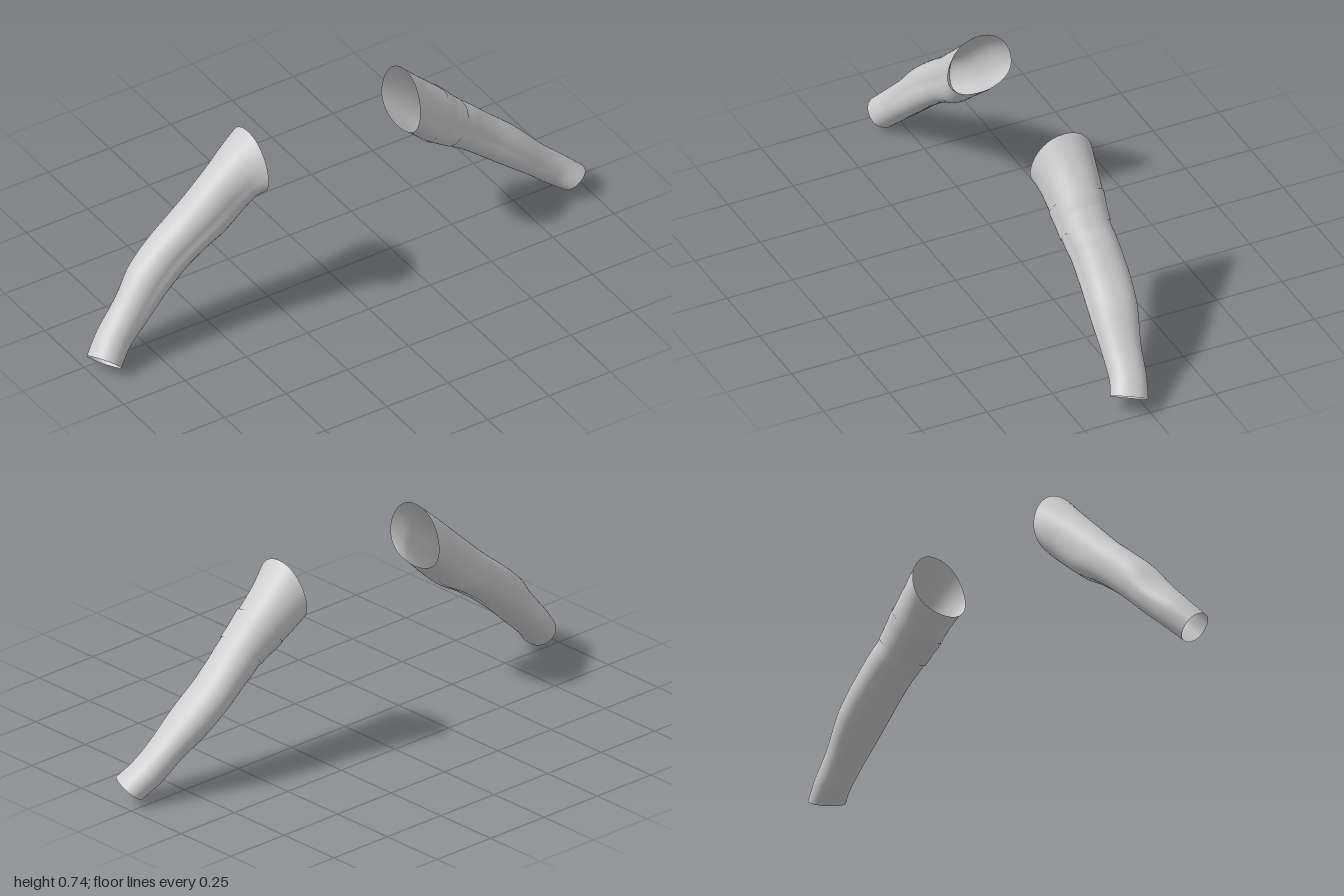
import * as THREE from 'three';

const cloth = new THREE.MeshStandardMaterial({ color: 0xcccccc, side: THREE.DoubleSide });
cloth.name = 'light grey cloth';

// Each section: top x, top y, bottom x, bottom y, front z, back z (x measured outwards)
const leftArm = [
  [0.315, 0.73, 0.283, 0.505, 0.11, -0.125],
  [0.385, 0.66, 0.32, 0.475, 0.09, -0.116],
  [0.465, 0.585, 0.362, 0.441, 0.08, -0.105],
  [0.545, 0.505, 0.448, 0.386, 0.078, -0.094],
  [0.612, 0.442, 0.518, 0.341, 0.068, -0.094],
  [0.675, 0.382, 0.588, 0.285, 0.07, -0.094],
  [0.765, 0.303, 0.678, 0.21, 0.079, -0.083],
  [0.87, 0.193, 0.785, 0.124, 0.088, -0.046],
  [0.94, 0.132, 0.855, 0.062, 0.098, -0.028],
  [1, 0.08, 0.912, 0.022, 0.119, -0.003],
];
const rightArm = [
  [0.33, 0.735, 0.322, 0.505, 0.12, -0.121],
  [0.4, 0.672, 0.345, 0.482, 0.088, -0.111],
  [0.47, 0.607, 0.385, 0.447, 0.073, -0.099],
  [0.545, 0.537, 0.455, 0.39, 0.067, -0.095],
  [0.625, 0.463, 0.53, 0.345, 0.058, -0.096],
  [0.705, 0.398, 0.6, 0.295, 0.054, -0.094],
  [0.8, 0.313, 0.7, 0.211, 0.063, -0.085],
  [0.87, 0.228, 0.775, 0.138, 0.076, -0.066],
  [0.94, 0.15, 0.85, 0.068, 0.091, -0.037],
  [1, 0.08, 0.915, 0.002, 0.118, 0],
];

// Rounded, slightly fuller than an ellipse
const full = (v) => Math.sign(v) * Math.abs(v) ** 0.92;

// Open tube lofted through the sections from index a to b, on the given side
function sleeve(name, sections, side, a, b, { inset = () => 0, flat = 0 } = {}) {
  const curve = (f) => new THREE.CatmullRomCurve3(sections.map(f));
  const tops = curve((s) => new THREE.Vector3(s[0], s[1], 0));
  const bottoms = curve((s) => new THREE.Vector3(s[2], s[3], 0));
  const depths = curve((s) => new THREE.Vector3(s[4], s[5], 0));
  const last = sections.length - 1, around = 48, rows = Math.round((b - a) * 6);
  const positions = [], index = [];
  for (let i = 0; i <= rows; i++) {
    const k = a + ((b - a) * i) / rows, u = k / last;
    const top = tops.getPoint(u), bottom = bottoms.getPoint(u), depth = depths.getPoint(u);
    const mid = top.clone().add(bottom).multiplyScalar(0.5);
    const half = top.clone().sub(mid);
    half.setLength(half.length() - inset(k));
    const zMid = (depth.x + depth.y) / 2, zHalf = (depth.x - depth.y) / 2 - inset(k);
    const egg = 0.14 * Math.max(0, 1 - k / 2.5); // shoulder is wider low down
    const slant = 0.008 * Math.max(0, k - last + 2); // cuff slopes back at the front
    const sag = 0.42 * Math.sin(Math.PI * THREE.MathUtils.clamp((k - 0.3) / 8, 0, 1)); // cloth hangs low in front
    const dent = flat * Math.exp(-((k - 7) ** 2)); // forearm is flatter behind, on top
    for (let j = 0; j < around; j++) {
      const t = (j / around) * Math.PI * 2, c = full(Math.cos(t)), s = full(Math.sin(t));
      const swell = 1 + sag * Math.max(0, c) * Math.max(0, -s) - dent * Math.max(0, -c) * Math.max(0, s);
      positions.push(
        side * (mid.x + half.x * s * swell - slant * c),
        mid.y + half.y * s * swell + slant * c,
        zMid + zHalf * c * swell * (1 - egg * s),
      );
      if (i < rows) {
        const p = i * around + j, q = i * around + ((j + 1) % around);
        const r = p + around, v = q + around;
        if (side > 0) index.push(p, r, q, q, r, v);
        else index.push(p, q, r, q, v, r);
      }
    }
  }
  const geometry = new THREE.BufferGeometry();
  geometry.setAttribute('position', new THREE.Float32BufferAttribute(positions, 3));
  geometry.setIndex(index);
  geometry.computeVertexNormals();
  const mesh = new THREE.Mesh(geometry, cloth);
  mesh.name = name;
  return mesh;
}

export function createModel() {
  const model = new THREE.Group();
  model.name = 'sleeves';

  // Left sleeve in two pieces whose ends overlap and cross in a band
  const crossing = (k) => (k < 3.5 ? -0.003 * Math.cos(Math.PI * (k - 2)) : 0);
  const left = new THREE.Group();
  left.name = 'leftSleeve';
  left.add(
    sleeve('leftUpperSleeve', leftArm, 1, 0, 3),
    sleeve('leftLowerSleeve', leftArm, 1, 2, 9, { inset: crossing }),
  );

  // Right sleeve in one piece
  model.add(left, sleeve('rightSleeve', rightArm, -1, 0, 9, { flat: 0.3 }));
  return model;
}
